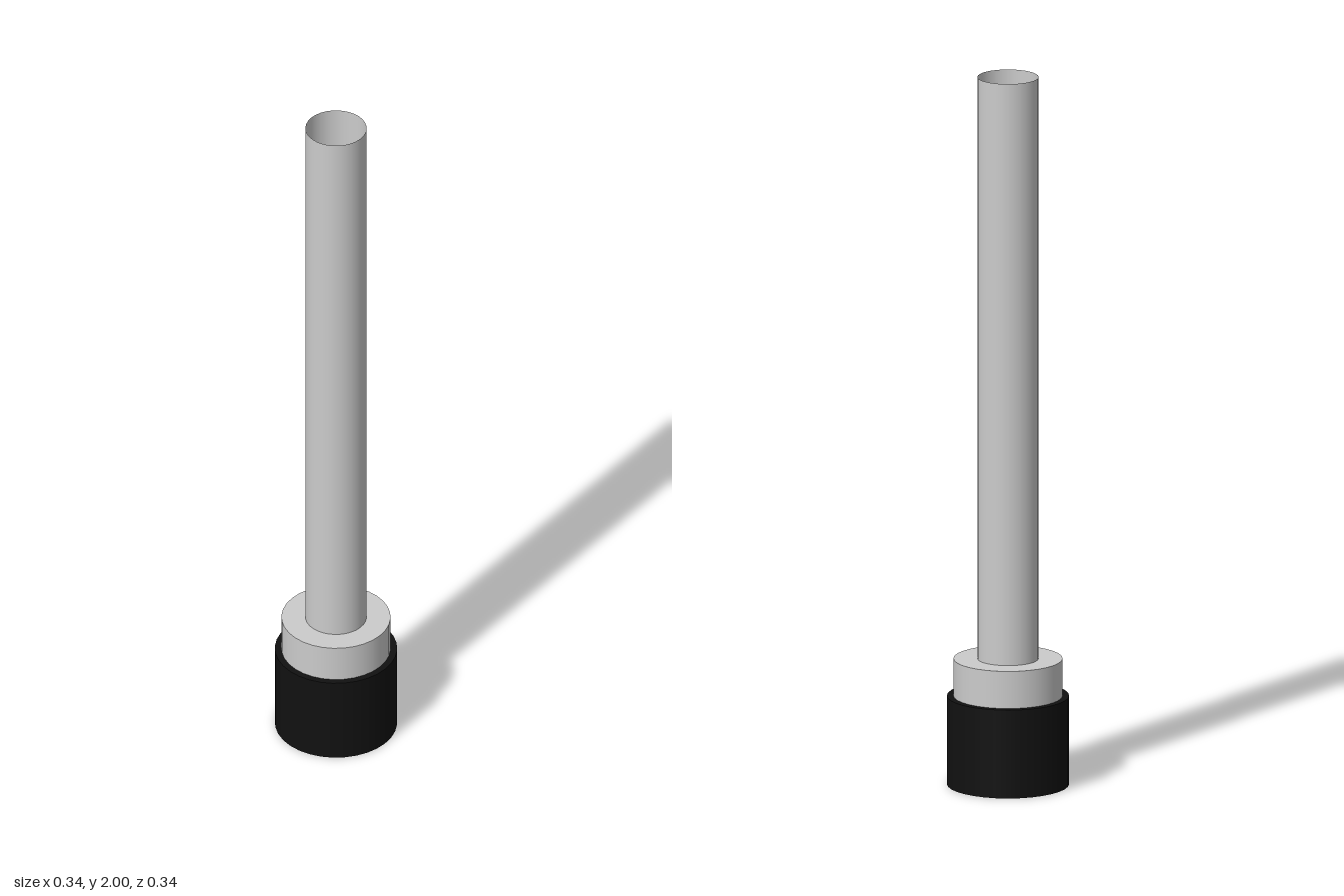
import * as THREE from 'three';

const SEGMENTS = 32;
const TUBE_R = 0.084, COLLAR_R = 0.15, BASE_R = 0.168;
const BASE_TOP = 0.25, COLLAR_TOP = 0.355, TOP = 2;

export function createModel() {
  const model = new THREE.Group();
  const grey = new THREE.MeshStandardMaterial({ color: 0xcccccc, side: THREE.DoubleSide });
  const black = new THREE.MeshStandardMaterial({ color: 0x111111 });

  const add = (name, geometry, material, y) => {
    const mesh = new THREE.Mesh(geometry, material);
    mesh.name = name;
    mesh.position.y = y;
    model.add(mesh);
  };

  // Upright cylinder between two heights
  const addCylinder = (name, radius, y0, y1, open, material) =>
    add(name, new THREE.CylinderGeometry(radius, radius, y1 - y0, SEGMENTS, 1, open), material, (y0 + y1) / 2);

  // Solid black foot
  addCylinder('base', BASE_R, 0, BASE_TOP, false, black);

  // Collar: outer wall and a flat ring around the tube
  addCylinder('collarWall', COLLAR_R, BASE_TOP, COLLAR_TOP, true, grey);
  const ring = new THREE.RingGeometry(TUBE_R, COLLAR_R, SEGMENTS).rotateX(-Math.PI / 2);
  add('collarTop', ring, grey, COLLAR_TOP);

  // Thin hollow tube, open at the top, standing on the base
  addCylinder('tube', TUBE_R, BASE_TOP, TOP, true, grey);

  return model;
}
